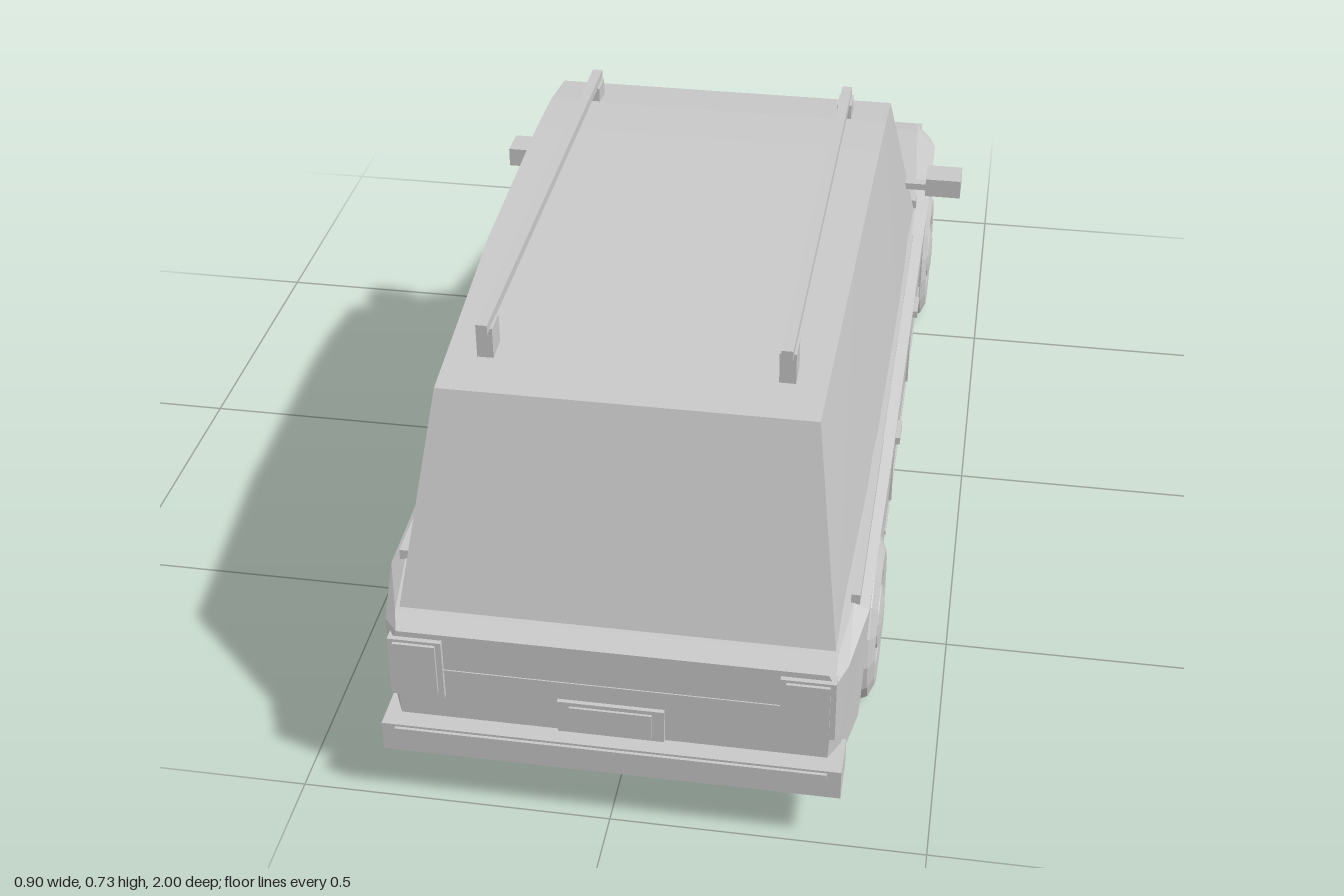
import * as THREE from 'three';

const paint = new THREE.MeshStandardMaterial({ color: 0xc8c8c8, flatShading: true });
paint.name = 'plain grey';

function add(parent, name, geometry) {
  const mesh = new THREE.Mesh(geometry, paint);
  mesh.name = name;
  parent.add(mesh);
  return mesh;
}

// box given by its limits on each axis
function block(parent, name, [x0, x1], [y0, y1], [z0, z1]) {
  const mesh = add(parent, name, new THREE.BoxGeometry(x1 - x0, y1 - y0, z1 - z0));
  mesh.position.set((x0 + x1) / 2, (y0 + y1) / 2, (z0 + z1) / 2);
  return mesh;
}

// the same box on both sides
function pair(parent, name, [x0, x1], y, z) {
  block(parent, name + 'Left', [x0, x1], y, z);
  block(parent, name + 'Right', [-x1, -x0], y, z);
}

// thin bar between two points
function bar(parent, name, a, b, w, h) {
  const p = new THREE.Vector3(...a), q = new THREE.Vector3(...b);
  const mesh = add(parent, name, new THREE.BoxGeometry(w, h, p.distanceTo(q)));
  mesh.position.copy(p).add(q).multiplyScalar(0.5);
  mesh.lookAt(q);
  return mesh;
}

// skin through rings of points, ordered from +z to -z, with closed ends
function loft(rings) {
  const out = [];
  const tri = (...pts) => pts.forEach((p) => out.push(...p));
  const n = rings[0].length;
  for (let i = 0; i < rings.length - 1; i++) {
    const a = rings[i], b = rings[i + 1];
    for (let j = 0; j < n; j++) {
      const k = (j + 1) % n;
      tri(a[j], b[j], b[k]);
      tri(a[j], b[k], a[k]);
    }
  }
  const first = rings[0], last = rings[rings.length - 1];
  for (let j = 1; j < n - 1; j++) {
    tri(first[0], first[j], first[j + 1]);
    tri(last[0], last[j + 1], last[j]);
  }
  const g = new THREE.BufferGeometry();
  g.setAttribute('position', new THREE.Float32BufferAttribute(out, 3));
  g.computeVertexNormals();
  return g;
}

const mirrorRing = (half) => [...half, ...half.slice().reverse().map(([x, y, z]) => [-x, y, z])];

const WHEEL_Z = 0.61, ARCH_R = 0.168, FLOOR = 0.11;

// body stations: z, ridge x, ridge y, shoulder x, shoulder y
const stations = [
  [0.965, 0.345, 0.295, 0.335, 0.315],
  [0.93, 0.362, 0.308, 0.345, 0.325],
  [0.82, 0.382, 0.328, 0.358, 0.34],
  [0.4, 0.385, 0.337, 0.362, 0.35],
  [0, 0.385, 0.337, 0.363, 0.355],
  [-0.3, 0.385, 0.337, 0.363, 0.355],
  [-0.46, 0.385, 0.325, 0.36, 0.338],
  [-0.88, 0.378, 0.256, 0.337, 0.293],
  [-0.94, 0.365, 0.246, 0.333, 0.277],
  [-0.975, 0.352, 0.24, 0.33, 0.262],
];

function stationAt(z) {
  let i = 0;
  while (i < stations.length - 2 && stations[i + 1][0] > z) i++;
  const a = stations[i], b = stations[i + 1];
  const t = (a[0] - z) / (a[0] - b[0]);
  return a.map((v, k) => v + (b[k] - v) * t);
}

// lower edge of the body, raised over the wheels
function lowerEdge(z) {
  const d = Math.abs(Math.abs(z) - WHEEL_Z);
  return d >= ARCH_R ? FLOOR : FLOOR + Math.sqrt(ARCH_R * ARCH_R - d * d);
}

function bodyGeometry() {
  const zs = stations.map((s) => s[0]);
  for (const c of [WHEEL_Z, -WHEEL_Z]) {
    for (let i = 0; i <= 10; i++) zs.push(c + ARCH_R * Math.cos((Math.PI * i) / 10));
  }
  zs.sort((a, b) => b - a);
  return loft(zs.map((z) => {
    const [, rx, ry, tx, ty] = stationAt(z);
    return mirrorRing([[rx - 0.01, lowerEdge(z), z], [rx, ry, z], [tx, ty, z]]);
  }));
}

function cabinGeometry() {
  // bottom z, x, y then top z, x, y
  const frames = [
    [0.925, 0.342, 0.315, 0.8, 0.295, 0.66],
    [0.4, 0.357, 0.345, 0.4, 0.306, 0.695],
    [0, 0.36, 0.35, 0, 0.312, 0.7],
    [-0.16, 0.36, 0.35, -0.12, 0.313, 0.695],
    [-0.445, 0.358, 0.335, -0.235, 0.313, 0.678],
  ];
  return loft(frames.map(([bz, bx, by, tz, tx, ty]) => mirrorRing([[bx, by, bz], [tx, ty, tz]])));
}

function makeWheel(side, z) {
  const wheel = new THREE.Group();
  const lathe = (name, pts) =>
    add(wheel, name, new THREE.LatheGeometry(pts.map(([r, y]) => new THREE.Vector2(r, y)), 16));
  lathe('tire', [[0, -0.05], [0.115, -0.05], [0.133, -0.042], [0.14, -0.03], [0.14, 0.022],
    [0.133, 0.037], [0.112, 0.047], [0.078, 0.045], [0.072, 0.038], [0, 0.038]]);
  lathe('rim', [[0.074, 0.03], [0.074, 0.044], [0.056, 0.04]]);
  lathe('hubCap', [[0.056, 0.036], [0.052, 0.046], [0.03, 0.051], [0, 0.052]]);
  wheel.rotation.z = (-side * Math.PI) / 2;
  wheel.position.set(side * 0.342, 0.143, z);
  return wheel;
}

export function createModel() {
  const car = new THREE.Group();
  car.name = 'estateCar';

  add(car, 'body', bodyGeometry());
  add(car, 'cabin', cabinGeometry());
  block(car, 'underfloor', [-0.285, 0.285], [0.08, 0.12], [-0.82, 0.82]);

  // wheels
  for (const side of [1, -1]) {
    for (const z of [WHEEL_Z, -WHEEL_Z]) {
      const wheel = makeWheel(side, z);
      wheel.name = (z > 0 ? 'tailWheel' : 'noseWheel') + (side > 0 ? 'Left' : 'Right');
      car.add(wheel);
    }
  }

  // tailgate end
  block(car, 'tailBumper', [-0.362, 0.362], [0.097, 0.15], [0.92, 0.995]);
  block(car, 'tailBumperStrip', [-0.34, 0.34], [0.132, 0.146], [0.99, 1]);
  pair(car, 'tailLamp', [0.263, 0.348], [0.195, 0.305], [0.94, 0.973]);
  pair(car, 'tailLampLens', [0.272, 0.339], [0.208, 0.3], [0.97, 0.978]);
  block(car, 'plateHolder', [-0.084, 0.084], [0.152, 0.212], [0.95, 0.972]);
  block(car, 'numberPlate', [-0.065, 0.065], [0.158, 0.205], [0.97, 0.976]);
  block(car, 'tailgateSeam', [-0.263, 0.263], [0.243, 0.247], [0.96, 0.967]);

  // bonnet end
  block(car, 'noseBumper', [-0.362, 0.362], [0.12, 0.17], [-1, -0.92]);
  pair(car, 'headlamp', [0.18, 0.342], [0.18, 0.258], [-0.986, -0.95]);
  pair(car, 'headlampLens', [0.19, 0.332], [0.19, 0.25], [-0.992, -0.984]);
  block(car, 'grille', [-0.18, 0.18], [0.19, 0.245], [-0.981, -0.96]);
  block(car, 'cowl', [-0.35, 0.35], [0.325, 0.345], [-0.472, -0.458]);
  pair(car, 'cowlEnd', [0.338, 0.362], [0.33, 0.357], [-0.47, -0.444]);

  // roof rails
  pair(car, 'roofRail', [0.226, 0.244], [0.718, 0.734], [-0.177, 0.73]);
  pair(car, 'railFootTail', [0.222, 0.248], [0.665, 0.72], [0.672, 0.716]);
  pair(car, 'railFootNose', [0.222, 0.248], [0.68, 0.72], [-0.172, -0.126]);

  // door mirrors
  pair(car, 'mirror', [0.384, 0.452], [0.437, 0.474], [-0.382, -0.322]);
  pair(car, 'mirrorArm', [0.335, 0.386], [0.437, 0.45], [-0.365, -0.345]);

  // door handles, seams and mouldings
  for (const z of [0.31, -0.11]) {
    pair(car, 'doorHandle', [0.376, 0.392], [0.303, 0.317], [z - 0.027, z + 0.027]);
  }
  for (const z of [0.36, -0.02, -0.37]) {
    pair(car, 'doorSeam', [0.376, 0.384], [0.2, 0.325], [z - 0.003, z + 0.003]);
  }
  pair(car, 'sillMoulding', [0.372, 0.38], [0.168, 0.175], [-0.42, 0.42]);
  for (const side of [1, -1]) {
    const x = side * 0.36;
    bar(car, 'beltMoulding', [x, 0.347, 0.82], [x, 0.35, 0.4], 0.014, 0.018);
    bar(car, 'beltMoulding', [x, 0.35, 0.4], [x, 0.353, -0.3], 0.012, 0.014);
  }
  return car;
}
